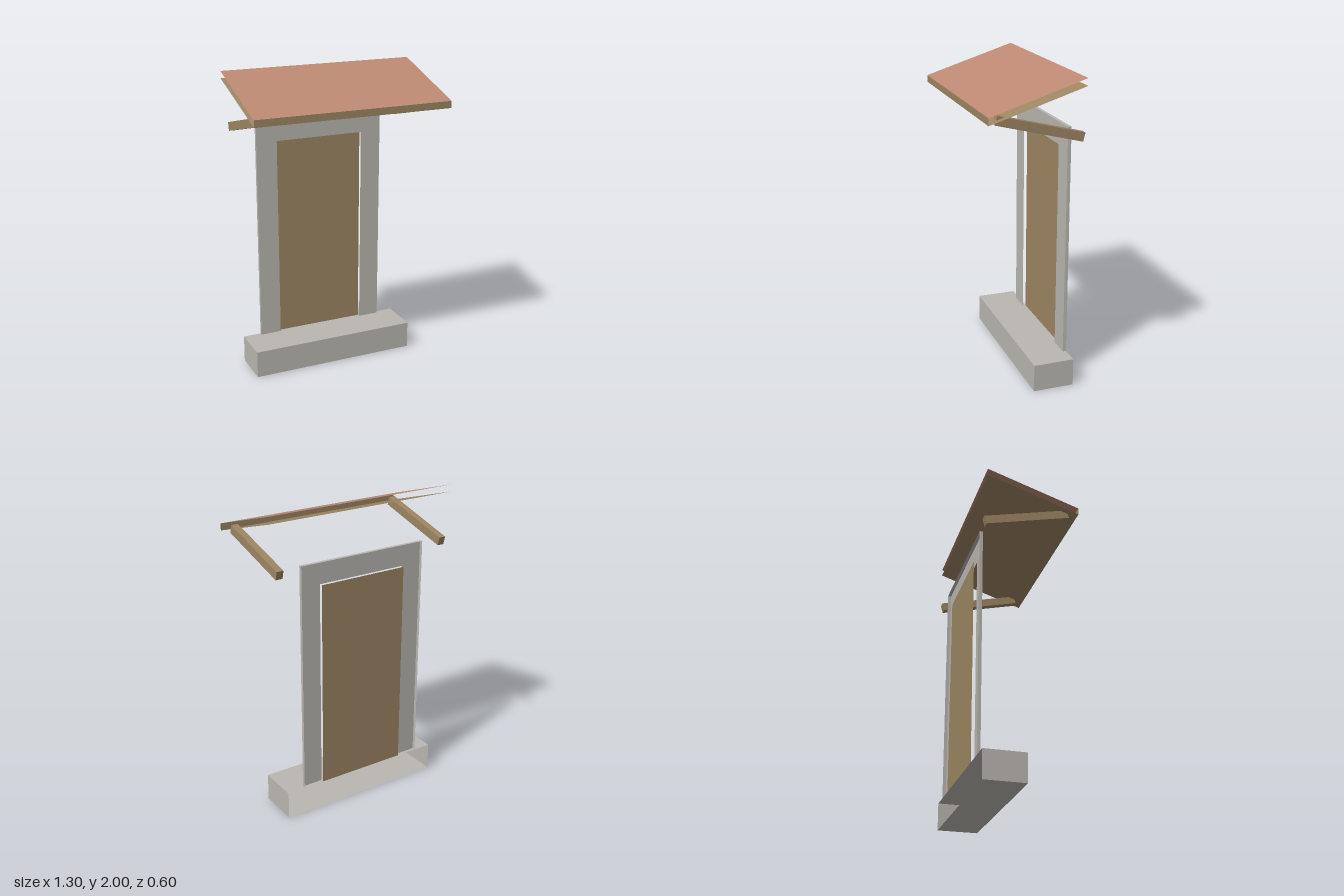
import * as THREE from 'three';

const material = (name, color) => {
  const m = new THREE.MeshStandardMaterial({ color, side: THREE.DoubleSide });
  m.name = name;
  return m;
};

// Box shell between two corners, keeping only the listed faces
// (0 +x, 1 -x, 2 +y, 3 -y, 4 +z, 5 -z)
function shell(min, max, faces) {
  const size = max.map((v, i) => v - min[i]);
  const geo = new THREE.BoxGeometry(...size);
  geo.translate(...min.map((v, i) => v + size[i] / 2));
  const index = Array.from(geo.index.array);
  geo.setIndex(faces.flatMap((f) => index.slice(f * 6, f * 6 + 6)));
  geo.clearGroups();
  return geo;
}

export function createModel() {
  const stone = material('stone grey', 0xbab7b1);
  const wood = material('wood brown', 0x9d8663);
  const tile = material('roof red', 0xbe8a73);

  const model = new THREE.Group();
  model.name = 'doorwayWithCanopy';
  const add = (name, geo, mat, parent = model) => {
    const mesh = new THREE.Mesh(geo, mat);
    mesh.name = name;
    parent.add(mesh);
    return mesh;
  };

  // Doorstep, open at the back
  add('doorstep', shell([-0.56, 0, -0.29], [0.56, 0.18, -0.025], [0, 1, 2, 3, 4]), stone);

  // Door surround: front face around the opening, plus outer returns
  const surround = new THREE.Group();
  surround.name = 'doorSurround';
  model.add(surround);
  const face = new THREE.Shape([
    [-0.44, 0.18], [-0.3, 0.18], [-0.3, 1.527], [0.3, 1.527],
    [0.3, 0.18], [0.44, 0.18], [0.44, 1.67], [-0.44, 1.67],
  ].map(([x, y]) => new THREE.Vector2(x, y)));
  add('surroundFace', new THREE.ShapeGeometry(face).translate(0, 0, -0.268), stone, surround);
  add('surroundReturns', shell([-0.44, 0.18, -0.29], [0.44, 1.67, -0.268], [0, 1, 2]), stone, surround);

  // Door panel, set back behind the surround
  add('door', new THREE.PlaneGeometry(0.6, 1.347).translate(0, 0.8535, -0.289), wood);

  // Canopy: sheets sheared so that the back is higher, open at ends and back
  const canopy = new THREE.Group();
  canopy.name = 'canopy';
  model.add(canopy);
  const sloped = (faces) => {
    const geo = shell([-0.65, 1.77, -0.295], [0.65, 1.815, 0.3], faces);
    const p = geo.attributes.position;
    for (let i = 0; i < p.count; i++) {
      p.setY(i, p.getY(i) + (0.3 - p.getZ(i)) * (0.185 / 0.595));
    }
    geo.computeVertexNormals();
    return geo;
  };
  add('roofCovering', sloped([2]), tile, canopy);
  add('fasciaAndSoffit', sloped([3, 4]), wood, canopy);

  // Slanting support beams
  for (const side of [-1, 1]) {
    const beam = add(side > 0 ? 'leftBeam' : 'rightBeam', new THREE.BoxGeometry(0.045, 0.055, 0.558), wood);
    beam.position.set(side * 0.588, 1.717, -0.027);
    beam.rotation.x = -Math.atan2(0.14, 0.54);
  }
  return model;
}
